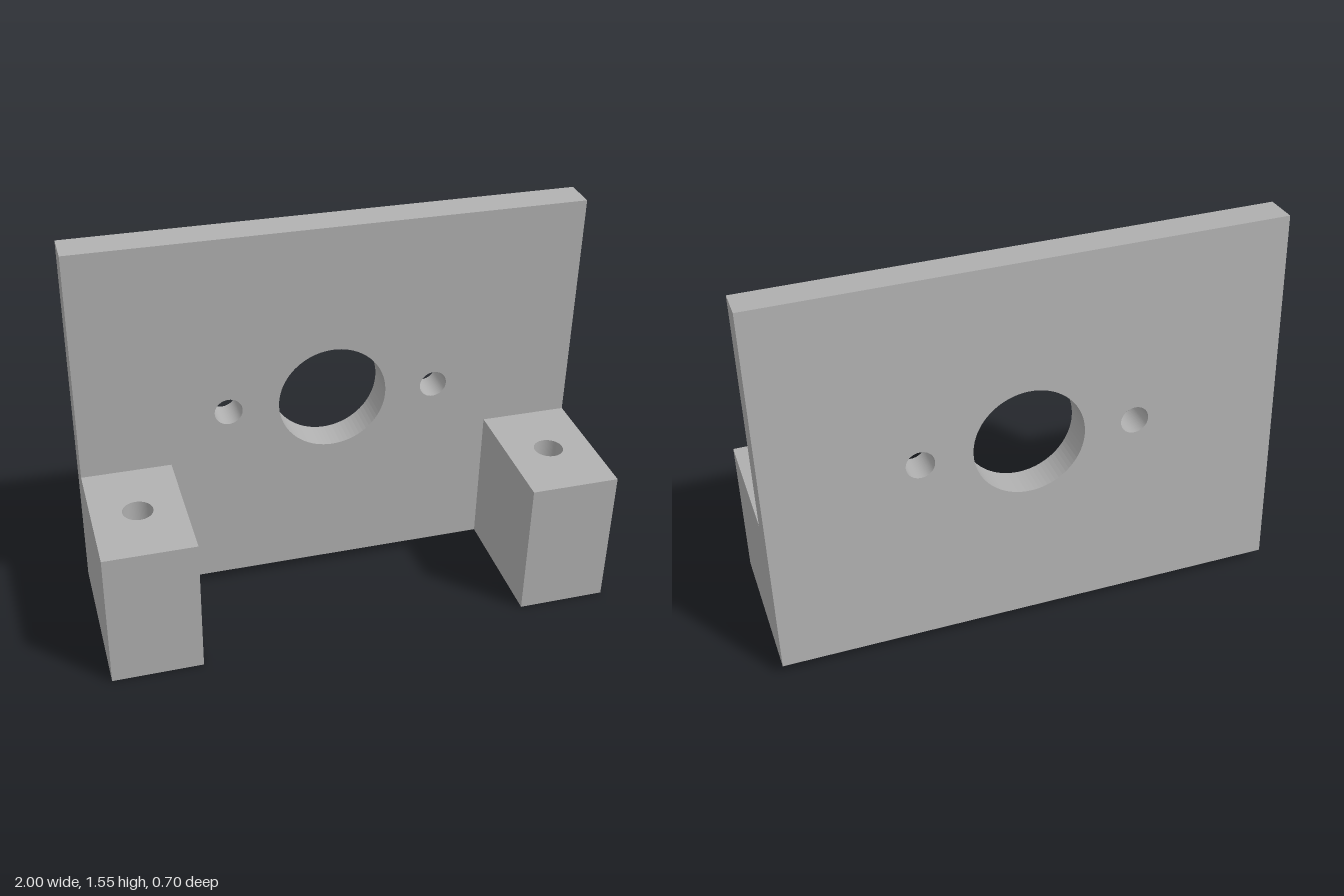
import * as THREE from 'three';

const WIDTH = 2, HEIGHT = 1.505, THICK = 0.132, DEPTH = 0.667;
const FOOT_W = 0.35, FOOT_H = 0.567, TILT = 0.069;

// Rectangle with round holes [x, y, radius], extruded along z
function drilledSlab(x0, y0, x1, y1, depth, holes) {
  const shape = new THREE.Shape([
    new THREE.Vector2(x0, y0), new THREE.Vector2(x1, y0),
    new THREE.Vector2(x1, y1), new THREE.Vector2(x0, y1),
  ]);
  for (const [x, y, r] of holes) {
    shape.holes.push(new THREE.Path().absarc(x, y, r, 0, Math.PI * 2, true));
  }
  return new THREE.ExtrudeGeometry(shape, { depth, bevelEnabled: false, curveSegments: 40 });
}

export function createModel() {
  const grey = new THREE.MeshStandardMaterial({ color: 0xb0b0b0 });
  grey.name = 'grey';

  const bracket = new THREE.Group();
  bracket.name = 'bracket';

  // Upright plate with a large bore and two screw holes
  const plate = new THREE.Mesh(
    drilledSlab(-WIDTH / 2, 0, WIDTH / 2, HEIGHT, THICK, [
      [0, 0.773, 0.217], [-0.417, 0.773, 0.055], [0.417, 0.773, 0.055],
    ]), grey);
  plate.name = 'mountingPlate';
  bracket.add(plate);

  // Two feet, each drilled from top to bottom
  for (const side of [-1, 1]) {
    const cx = side * (WIDTH - FOOT_W) / 2;
    const geometry = drilledSlab(cx - FOOT_W / 2, -DEPTH, cx + FOOT_W / 2, -THICK, FOOT_H,
      [[cx, -0.398, 0.058]]);
    geometry.rotateX(-Math.PI / 2);
    const foot = new THREE.Mesh(geometry, grey);
    foot.name = side > 0 ? 'leftFoot' : 'rightFoot';
    bracket.add(foot);
  }

  // The whole bracket leans slightly forward onto its front lower edge
  bracket.rotation.x = TILT;
  bracket.position.set(0, DEPTH * Math.sin(TILT), -0.352);

  const model = new THREE.Group();
  model.name = 'motorBracket';
  model.add(bracket);
  return model;
}
